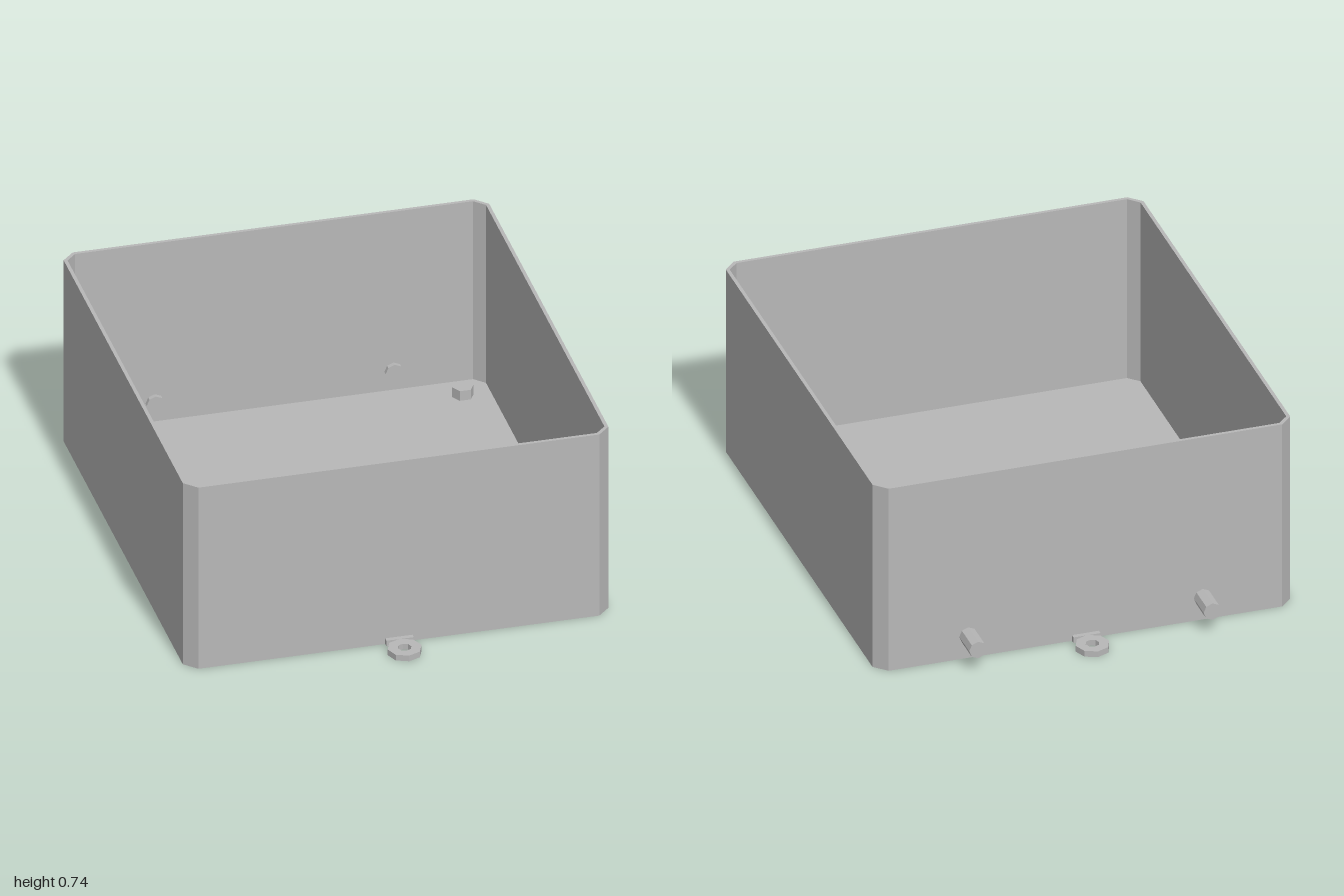
import * as THREE from 'three';

const W = 0.775, D = 0.86, H = 0.735, CHAMFER = 0.045, WALL = 0.013;

// Rectangle outline with cut corners
function chamferedRect(path, w, d, c) {
  const pts = [[w, d - c], [w - c, d], [c - w, d], [-w, d - c],
    [-w, c - d], [c - w, -d], [w - c, -d], [w, c - d]];
  path.setFromPoints(pts.map(([x, y]) => new THREE.Vector2(x, y)));
  return path;
}

function polygon(path, r, sides) {
  const pts = [];
  for (let i = 0; i < sides; i++) {
    const a = (i / sides) * Math.PI * 2;
    pts.push(new THREE.Vector2(r * Math.cos(a), r * Math.sin(a)));
  }
  return path.setFromPoints(pts);
}

// Extrude a plan outline upwards from y = 0
function extrudeUp(shape, height) {
  const geo = new THREE.ExtrudeGeometry(shape, { depth: height, bevelEnabled: false });
  return geo.rotateX(-Math.PI / 2);
}

export function createModel() {
  const group = new THREE.Group();
  const grey = new THREE.MeshStandardMaterial({ color: 0xb8b8b8, flatShading: true });
  grey.name = 'grey';

  const add = (name, geo, x = 0, y = 0, z = 0) => {
    const mesh = new THREE.Mesh(geo, grey);
    mesh.name = name;
    mesh.position.set(x, y, z);
    group.add(mesh);
    return mesh;
  };

  // Open-topped shell: walls around a thin floor
  const wallShape = chamferedRect(new THREE.Shape(), W, D, CHAMFER);
  wallShape.holes.push(chamferedRect(new THREE.Path(), W - WALL, D - WALL, CHAMFER - WALL * 0.58));
  add('walls', extrudeUp(wallShape, H));
  const floorShape = chamferedRect(new THREE.Shape(), W - WALL, D - WALL, CHAMFER - WALL * 0.58);
  add('floor', extrudeUp(floorShape, WALL));

  // Mounting eyelets at the front and back
  const eyeletShape = polygon(new THREE.Shape(), 0.062, 8);
  eyeletShape.holes.push(polygon(new THREE.Path(), 0.025, 8));
  const eyeletGeo = extrudeUp(eyeletShape, 0.023);
  for (const [side, s] of [['front', 1], ['back', -1]]) {
    add(side + 'Eyelet', eyeletGeo, 0, 0, s * 0.938);
    add(side + 'EyeletBase', new THREE.BoxGeometry(0.1, 0.023, 0.02), 0, 0.0115, s * 0.868);
  }

  // Pegs passing through the back wall
  const pegGeo = new THREE.CylinderGeometry(0.033, 0.033, 0.14, 8).rotateX(Math.PI / 2);
  for (const s of [-1, 1]) add(s > 0 ? 'leftPeg' : 'rightPeg', pegGeo, s * 0.435, 0.09, -0.9);

  // Hexagonal posts on the floor along the left side
  const postGeo = extrudeUp(polygon(new THREE.Shape(), 0.04, 6), 0.042);
  for (const s of [-1, 1]) add(s > 0 ? 'frontPost' : 'backPost', postGeo, 0.66, 0.01, s * 0.745);

  return group;
}
